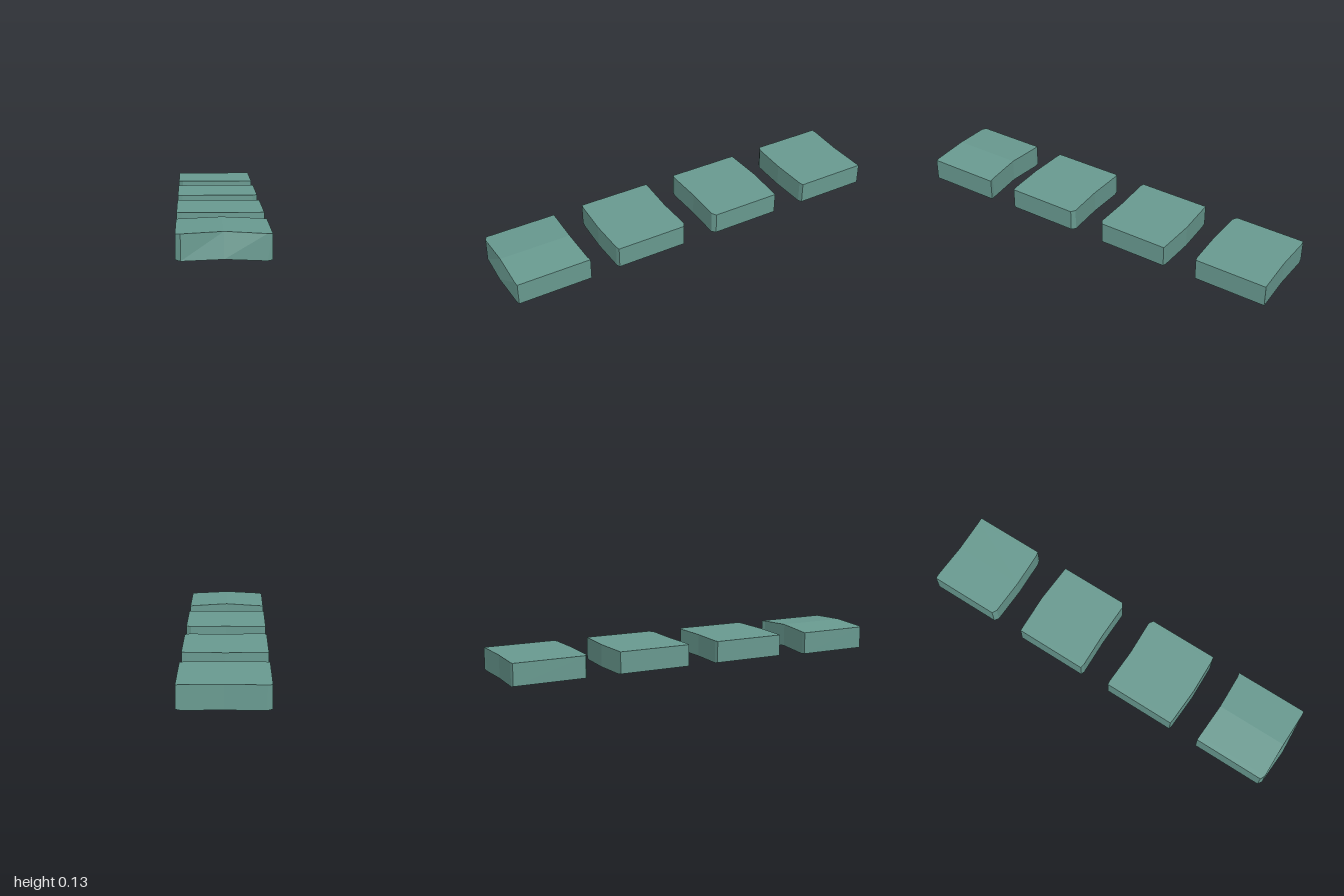
import * as THREE from 'three';

// Columns across each slab: corner, shoulder, centre, shoulder, corner
const COLUMNS = [-0.208, -0.185, 0, 0.185, 0.208];

// z of the back and front edge at each column, heights, and rise of the middle
const SLABS = [
  { back: [-0.995, -0.998, -0.992, -0.998, -1.0], front: [-0.635, -0.622, -0.618, -0.626, -0.632], bottom: 0.007, top: 0.121, rise: 0, lean: 0 },
  { back: [-0.455, -0.456, -0.465, -0.457, -0.455], front: [-0.082, -0.078, -0.085, -0.083, -0.098], bottom: 0.007, top: 0.121, rise: 0, lean: 0 },
  { back: [0.082, 0.08, 0.086, 0.078, 0.092], front: [0.455, 0.458, 0.466, 0.46, 0.455], bottom: 0.007, top: 0.121, rise: 0, lean: 0 },
  { back: [0.612, 0.612, 0.62, 0.613, 0.608], front: [0.975, 0.989, 1.0, 0.989, 0.985], bottom: 0, top: 0.118, rise: 0.011, lean: 0.016 },
];

// A box split into columns, with its corners moved onto the slab outline
function slabGeometry({ back, front, bottom, top, rise, lean }) {
  const geometry = new THREE.BoxGeometry(4, 1, 1, 4, 1, 1);
  const p = geometry.attributes.position;
  for (let i = 0; i < p.count; i++) {
    const column = Math.round(p.getX(i) + 2);
    const isTop = p.getY(i) > 0;
    const isFront = p.getZ(i) > 0;
    const middle = 1 - Math.abs(COLUMNS[column]) / 0.208;
    const trim = !isTop && Math.abs(column - 2) === 2 ? 0.005 : 0;
    const z = isFront ? front[column] - (isTop ? lean * middle : 0) : back[column];
    p.setXYZ(i, COLUMNS[column], (isTop ? top : bottom) + rise * middle + trim, z);
  }
  geometry.computeVertexNormals();
  return geometry;
}

export function createModel() {
  const group = new THREE.Group();
  group.name = 'slabRow';
  const material = new THREE.MeshStandardMaterial({ color: 0x6a9c92, flatShading: true });
  SLABS.forEach((slab, i) => {
    const mesh = new THREE.Mesh(slabGeometry(slab), material);
    mesh.name = `slab${i + 1}`;
    group.add(mesh);
  });
  return group;
}
